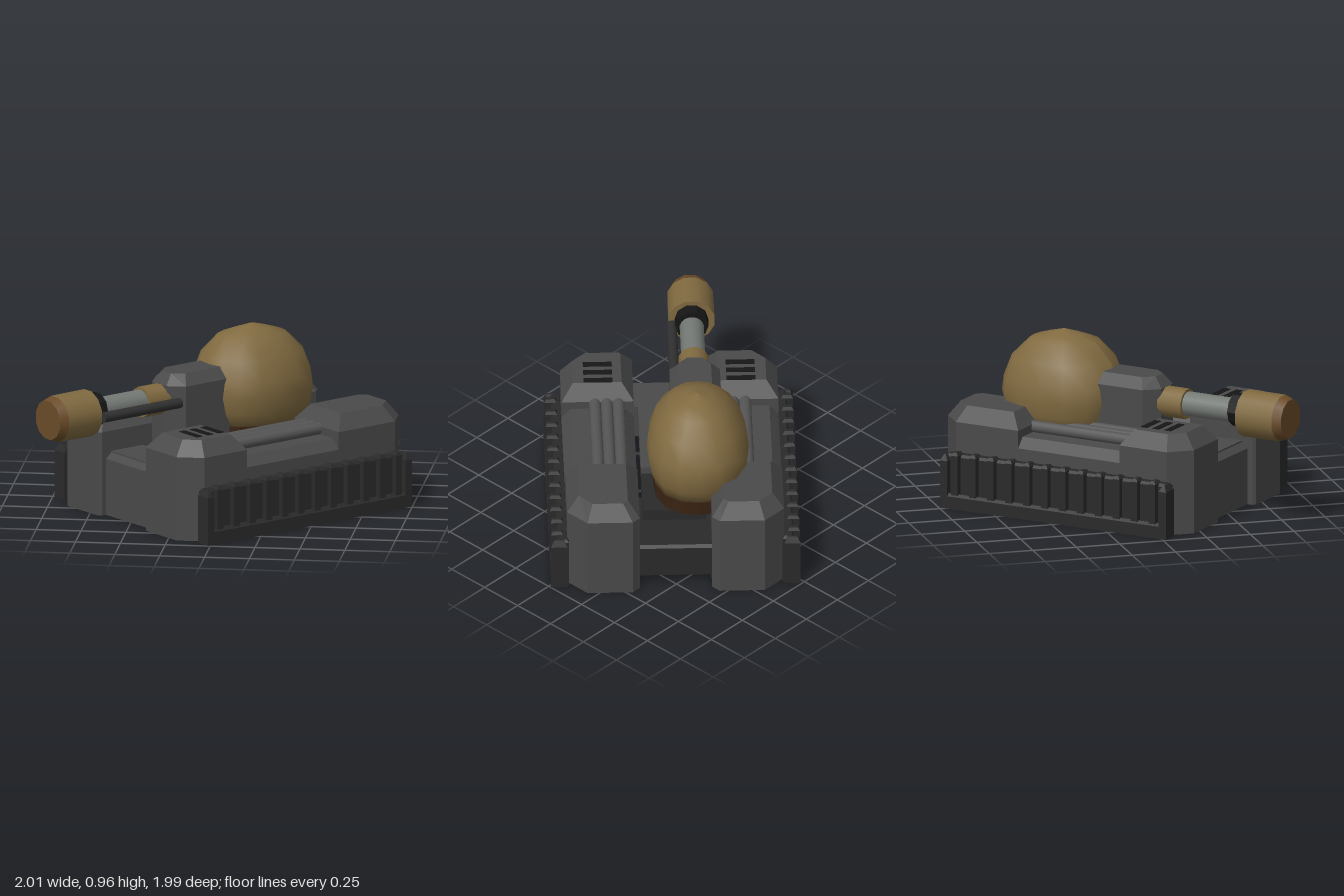
import * as THREE from 'three';
import { ConvexGeometry } from 'three/addons/geometries/ConvexGeometry.js';

const mat = (color, flatShading = true) => new THREE.MeshStandardMaterial({ color, flatShading });
const HULL = mat(0x4a4a4a), DARK = mat(0x2a2a2a), BLACK = mat(0x161616), STEEL = mat(0x747974, false);
const PIPE = mat(0x555555, false), ROD = mat(0x303030, false), TAN = mat(0x806a40, false);
const TIP = mat(0x6b4c28, false), BROWN = mat(0x3a2414), RED = mat(0x8a2413);
HULL.side = THREE.DoubleSide;

function add(parent, name, geometry, material, x = 0, y = 0, z = 0) {
  const mesh = new THREE.Mesh(geometry, material);
  mesh.name = name;
  mesh.position.set(x, y, z);
  parent.add(mesh);
  return mesh;
}

// Box given by its minimum and maximum corners
function box(parent, name, material, x0, x1, y0, y1, z0, z1) {
  return add(parent, name, new THREE.BoxGeometry(x1 - x0, y1 - y0, z1 - z0), material,
    (x0 + x1) / 2, (y0 + y1) / 2, (z0 + z1) / 2);
}

// The three outlines of a prism with a sloped shoulder from y1 to y2
function rings(plan, y0, y1, y2, inset) {
  const xs = plan.map(p => p[0]), zs = plan.map(p => p[1]);
  const x0 = Math.min(...xs), x1 = Math.max(...xs), z0 = Math.min(...zs), z1 = Math.max(...zs);
  const cx = (x0 + x1) / 2, cz = (z0 + z1) / 2;
  const sx = 1 - 2 * inset / (x1 - x0), sz = 1 - 2 * inset / (z1 - z0);
  return [
    plan.map(([x, z]) => new THREE.Vector3(x, y0, z)),
    plan.map(([x, z]) => new THREE.Vector3(x, y1, z)),
    plan.map(([x, z]) => new THREE.Vector3(cx + (x - cx) * sx, y2, cz + (z - cz) * sz)),
  ];
}

const bevelled = (...args) => new ConvexGeometry(rings(...args).flat());

// The same prism as a shell without a floor
function shell(...args) {
  const [a, b, c] = rings(...args), n = a.length, pts = [];
  for (let i = 0; i < n; i++) {
    const j = (i + 1) % n;
    for (const [lo, hi] of [[a, b], [b, c]]) pts.push(lo[i], hi[i], lo[j], lo[j], hi[i], hi[j]);
    if (i > 0 && j > 0) pts.push(c[0], c[j], c[i]);
  }
  const g = new THREE.BufferGeometry().setFromPoints(pts);
  g.computeVertexNormals();
  return g;
}

const rect = (x0, x1, z0, z1) => [[x0, z0], [x0, z1], [x1, z1], [x1, z0]];

// Cylinder lying along z, from z0 to z1
function rod(parent, name, material, r0, r1, sides, x, y, z0, z1) {
  const g = new THREE.CylinderGeometry(r1, r0, z1 - z0, sides);
  g.rotateY(Math.PI / sides).rotateX(Math.PI / 2);
  return add(parent, name, g, material, x, y, (z0 + z1) / 2);
}

// One track unit; s = 1 or -1 picks the side
function trackUnit(s) {
  const g = new THREE.Group();
  g.name = s > 0 ? 'leftTrackUnit' : 'rightTrackUnit';
  // Mirroring reverses the corner order so that faces stay outward
  const side = plan => (s > 0 ? plan : plan.map(([x, z]) => [-x, z]).reverse());

  // Floorless end blocks with cut corners
  const front = [[0.2, 0.37], [0.2, 0.765], [0.215, 0.78], [0.49, 0.78], [0.6, 0.67], [0.6, 0.37]];
  const rear = [[0.6, -0.27], [0.6, -0.665], [0.49, -0.775], [0.24, -0.775], [0.2, -0.735], [0.2, -0.27]];
  add(g, 'frontBlock', shell(side(front), 0, 0.475, 0.56, 0.065), HULL);
  add(g, 'rearBlock', shell(side(rear), 0, 0.475, 0.56, 0.065), HULL);
  add(g, 'middleBlock', shell(side(rect(0.2, 0.6, -0.32, 0.42)), 0, 0.375, 0.43, 0.05), HULL);

  // Three pipes lying between the blocks
  for (const x of [0.285, 0.35, 0.415]) rod(g, 'pipe', PIPE, 0.034, 0.034, 12, s * x, 0.458, -0.32, 0.4);

  // Vent slots on the front block
  for (const z of [0.455, 0.53, 0.605])
    box(g, 'ventSlot', BLACK, s * 0.395 - 0.08, s * 0.395 + 0.08, 0.54, 0.563, z - 0.02, z + 0.02);

  // Skirt: recessed panel, full-width sill, end caps and ribs
  add(g, 'skirtPanel', bevelled(side(rect(0.59, 0.655, -0.7, 0.7)), 0, 0.29, 0.305, 0.012), DARK);
  add(g, 'skirtSill', bevelled(side(rect(0.6, 0.69, -0.71, 0.71)), 0, 0.07, 0.085, 0.015), DARK);
  for (const z of [-0.692, 0.692])
    add(g, 'skirtEnd', bevelled(side(rect(0.6, 0.69, z - 0.023, z + 0.023)), 0, 0.27, 0.305, 0.018), DARK);
  for (let i = 0; i < 12; i++) {
    const z = -0.625 + i * 1.25 / 11;
    add(g, 'rib', bevelled(side(rect(0.62, 0.688, z - 0.021, z + 0.021)), 0.08, 0.305, 0.322, 0.01), DARK);
  }
  return g;
}

// Central chassis between the track units
function chassis() {
  const g = new THREE.Group();
  g.name = 'chassis';
  const nose = [];
  for (const x of [-0.21, 0.21])
    for (const [y, z] of [[0, 0.7], [0, 0.735], [0.32, 0.735], [0.36, 0.69], [0.32, 0.69]])
      nose.push(new THREE.Vector3(x, y, z));
  add(g, 'nosePlate', new ConvexGeometry(nose), HULL);
  box(g, 'noseDeck', HULL, -0.21, 0.21, 0.32, 0.36, 0.48, 0.7);
  box(g, 'floor', HULL, -0.175, 0.175, 0.28, 0.36, -0.1, 0.5);
  box(g, 'rearFloor', DARK, -0.175, 0.175, 0.22, 0.32, -0.45, -0.1);
  add(g, 'rearBar', bevelled(rect(-0.22, 0.22, -0.7, -0.22), 0.06, 0.24, 0.255, 0.015), DARK);
  return g;
}

// Turret: a rounded dome, mantlet and gun, set off to one side
function turret() {
  const g = new THREE.Group();
  g.name = 'turret';
  g.position.set(-0.135, 0, 0.014);

  // Round section squared off into a superellipse
  const squared = geometry => {
    const p = geometry.attributes.position;
    for (let i = 0; i < p.count; i++) {
      const x = p.getX(i), z = p.getZ(i), r = Math.hypot(x, z);
      if (r < 1e-6) continue;
      const k = Math.pow(Math.abs(x / r) ** 2.4 + Math.abs(z / r) ** 2.4, -1 / 2.4);
      p.setXYZ(i, x * k * 0.283, p.getY(i), z * k * 0.35);
    }
    geometry.computeVertexNormals();
    return geometry;
  };
  const lathe = pts => squared(new THREE.LatheGeometry(pts.map(p => new THREE.Vector2(...p)), 16));
  add(g, 'dome', lathe([[0, 0.43], [0.86, 0.43], [0.95, 0.51], [1, 0.6], [0.97, 0.68], [0.84, 0.8],
    [0.56, 0.9], [0.28, 0.932], [0, 0.96]]), TAN, 0, 0, -0.25);
  add(g, 'domeBase', lathe([[0, 0.35], [0.87, 0.35], [0.89, 0.435], [0, 0.435]]), BROWN, 0, 0, -0.25);
  add(g, 'turretRing', lathe([[0, 0.31], [0.5, 0.31], [0.5, 0.352], [0, 0.352]]), RED, 0, 0, -0.25);

  // Mantlet
  const plan = [[-0.14, -0.05], [0.14, -0.05], [0.14, 0.32], [0.065, 0.4], [-0.065, 0.4], [-0.14, 0.32]];
  add(g, 'mantlet', bevelled(plan, 0.36, 0.71, 0.77, 0.05), HULL);

  // Gun
  rod(g, 'gunCollar', TAN, 0.086, 0.086, 12, 0, 0.627, 0.38, 0.53);
  rod(g, 'barrel', STEEL, 0.068, 0.068, 16, 0, 0.63, 0.5, 0.86);
  rod(g, 'barrelRing', BLACK, 0.093, 0.093, 10, 0, 0.638, 0.83, 0.915);
  rod(g, 'muzzle', TAN, 0.132, 0.13, 12, 0, 0.625, 0.9, 1.13);
  rod(g, 'muzzleTip', TIP, 0.13, 0.112, 12, 0, 0.625, 1.13, 1.18);
  rod(g, 'sideRod', ROD, 0.029, 0.029, 12, 0.11, 0.615, 0.34, 0.88);
  return g;
}

export function createModel() {
  const model = new THREE.Group();
  model.name = 'tank';
  const body = new THREE.Group();
  body.name = 'body';
  body.rotation.y = -Math.PI / 4;
  body.position.x = 0.005;
  body.add(trackUnit(1), trackUnit(-1), chassis(), turret());
  model.add(body);
  return model;
}
